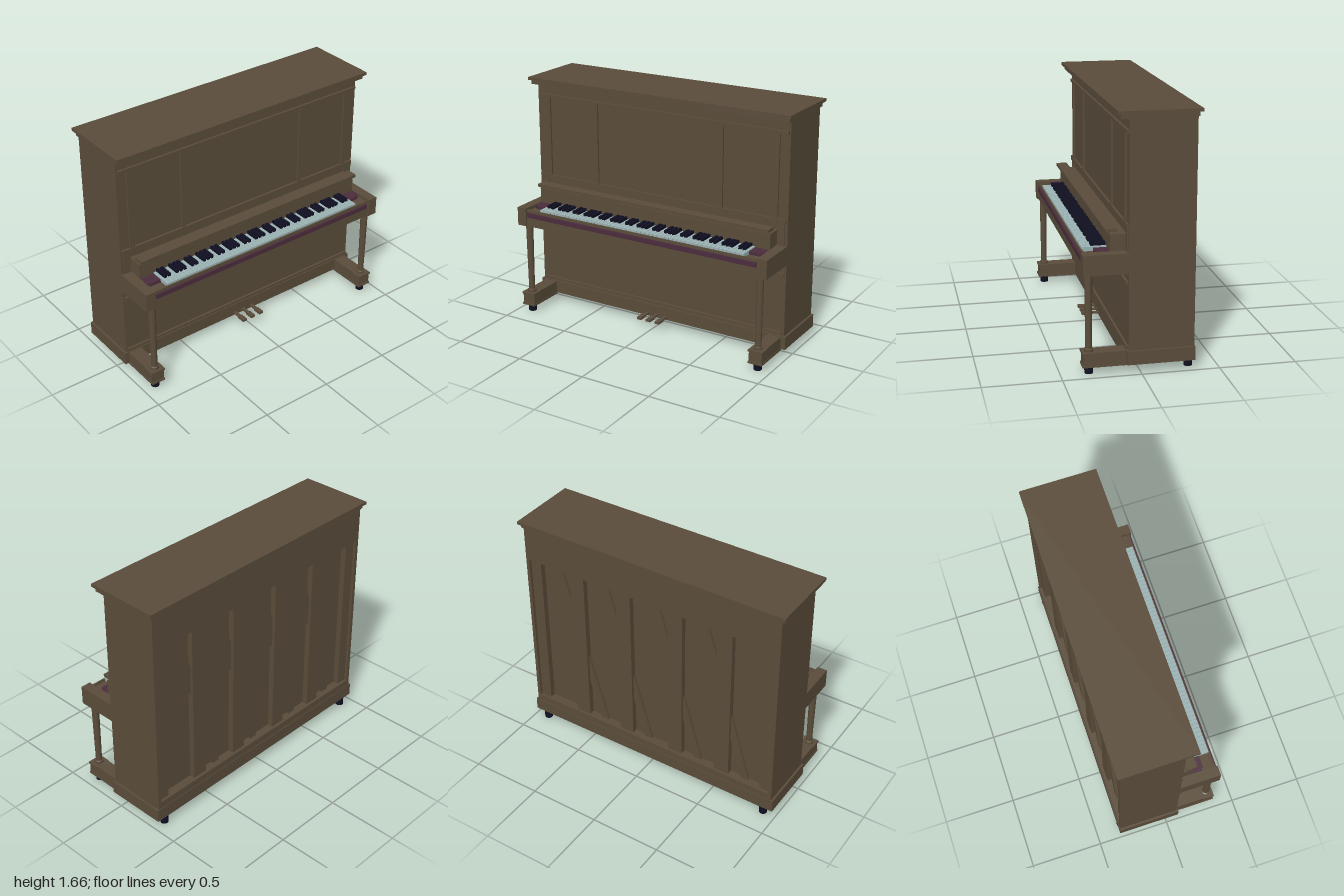
import * as THREE from 'three';

export function createModel() {
  const root = new THREE.Group();
  root.name = 'uprightPiano';
  const mat = (name, color) => {
    const m = new THREE.MeshStandardMaterial({ color });
    m.name = name;
    return m;
  };
  const wood = mat('brownWood', 0x5a4c3a);
  const ivory = mat('paleKeys', 0x9bb2b3);
  const black = mat('blackKeys', 0x0f0f22);
  const plum = mat('plumFelt', 0x4b2d3d);

  const add = (name, geo, material, parent = root) => {
    const m = new THREE.Mesh(geo, material);
    m.name = name;
    parent.add(m);
    return m;
  };
  // Box given by its extents along each axis
  const box = (name, x0, x1, y0, y1, z0, z1, material = wood, parent = root) => {
    const m = add(name, new THREE.BoxGeometry(x1 - x0, y1 - y0, z1 - z0), material, parent);
    m.position.set((x0 + x1) / 2, (y0 + y1) / 2, (z0 + z1) / 2);
    return m;
  };
  // The same box on both sides
  const pair = (name, x0, x1, y0, y1, z0, z1, material = wood) => {
    box(name + 'Left', x0, x1, y0, y1, z0, z1, material);
    box(name + 'Right', -x1, -x0, y0, y1, z0, z1, material);
  };

  // Case and lid
  box('caseBody', -0.97, 0.97, 0.06, 1.61, -0.28, 0.08);
  box('lidMoulding', -0.985, 0.985, 1.61, 1.64, -0.345, 0.135);
  box('lid', -1, 1, 1.64, 1.66, -0.365, 0.155);
  box('plinth', -0.985, 0.985, 0.06, 0.15, -0.345, 0.09);

  // Back frame with posts over slanted braces
  pair('backSideBoard', 0.945, 0.97, 0.15, 1.61, -0.34, -0.28);
  box('backTopRail', -0.945, 0.945, 1.37, 1.61, -0.34, -0.28);
  box('backBottomRail', -0.945, 0.945, 0.15, 0.2, -0.34, -0.28);
  pair('backEdgePost', 0.865, 0.945, 0.2, 1.37, -0.32, -0.28);
  for (const x of [-0.57, -0.2, 0.2, 0.57]) {
    box('backPost', x - 0.055, x + 0.055, 0.2, 1.37, -0.32, -0.28);
    const brace = new THREE.Shape([
      new THREE.Vector2(x + 0.14, 1.37), new THREE.Vector2(x - 0.2, 0.2),
      new THREE.Vector2(x - 0.14, 0.2), new THREE.Vector2(x + 0.2, 1.37),
    ]);
    add('backBrace', new THREE.ExtrudeGeometry(brace, { depth: 0.02, bevelEnabled: false }), wood)
      .position.z = -0.3;
  }

  // Upper front panel mouldings
  box('upperTopRail', -0.96, 0.96, 1.52, 1.54, 0.08, 0.095);
  box('upperBottomRail', -0.96, 0.96, 0.93, 0.96, 0.08, 0.095);
  pair('outerStile', 0.865, 0.9, 0.96, 1.52, 0.08, 0.093);
  pair('innerStile', 0.47, 0.5, 0.96, 1.52, 0.08, 0.093);
  pair('cheekStrip', 0.9, 0.95, 0.78, 0.93, 0.08, 0.088);

  // Lower front panel mouldings
  box('lowerTopRail', -0.96, 0.96, 0.575, 0.595, 0.08, 0.095);
  box('lowerBottomRail', -0.96, 0.96, 0.16, 0.18, 0.08, 0.095);

  // Keyboard shelf
  box('fallboard', -0.9, 0.9, 0.715, 0.885, 0.08, 0.185);
  box('musicShelf', -0.9, 0.9, 0.9, 0.92, 0.14, 0.215);
  box('keybed', -0.9, 0.9, 0.65, 0.715, 0.08, 0.355);
  box('keyFrame', -0.9, 0.9, 0.715, 0.755, 0.185, 0.335);
  pair('arm', 0.9, 0.97, 0.65, 0.78, 0.08, 0.365);
  box('frontFelt', -0.89, 0.89, 0.715, 0.748, 0.335, 0.36, plum);
  box('keySlip', -0.9, 0.9, 0.748, 0.768, 0.335, 0.348);

  // Plum end blocks with a clipped outer corner
  for (const s of [-1, 1]) {
    const pts = [[0.797, 0.185], [0.897, 0.185], [0.897, 0.25], [0.875, 0.27], [0.797, 0.27]]
      .map(([x, z]) => new THREE.Vector2(s * x, -z));
    const block = add('keyEndBlock', new THREE.ExtrudeGeometry(new THREE.Shape(pts),
      { depth: 0.022, bevelEnabled: false }), plum);
    block.rotation.x = -Math.PI / 2;
    block.position.y = 0.755;
  }

  // Keys
  const keys = new THREE.Group();
  keys.name = 'keys';
  root.add(keys);
  const count = 52, step = 1.59 / count;
  for (let i = 0; i < count; i++) {
    const x = -0.795 + i * step;
    box('whiteKey', x + 0.0012, x + step - 0.0012, 0.755, 0.782, 0.185, 0.34, ivory, keys);
    if ([0, 1, 3, 4, 5].includes(i % 7) && i < count - 1) {
      const c = x + step;
      box('blackKey', c - 0.01, c + 0.01, 0.775, 0.802, 0.185, 0.28, black, keys);
    }
  }

  // Legs, feet and casters
  const leg = [[0, 0.145], [0.029, 0.145], [0.029, 0.162], [0.021, 0.166], [0.021, 0.18],
    [0.025, 0.6], [0.025, 0.65], [0, 0.65]].map(([r, y]) => new THREE.Vector2(r, y));
  for (const s of [-1, 1]) {
    const x = s * 0.905;
    const m = add('frontLeg', new THREE.LatheGeometry(leg, 20).toNonIndexed(), wood);
    m.geometry.computeVertexNormals();
    m.position.set(x, 0, 0.32);
    box('foot', x - 0.047, x + 0.047, 0.05, 0.145, 0.085, 0.36);
    box('footTopTrim', x - 0.052, x + 0.052, 0.132, 0.145, 0.285, 0.367);
    box('footBottomTrim', x - 0.05, x + 0.05, 0.05, 0.064, 0.085, 0.366);
    for (const [z, h] of [[0.32, 0.05], [-0.317, 0.06]]) {
      add('caster', new THREE.CylinderGeometry(0.028, 0.028, h, 12), black)
        .position.set(x, h / 2, z);
    }
  }

  // Pedals
  for (const x of [-0.072, 0, 0.072]) {
    box('pedalStem', x - 0.011, x + 0.011, 0.076, 0.088, 0.09, 0.16);
    box('pedalPad', x - 0.017, x + 0.017, 0.074, 0.09, 0.15, 0.21);
  }
  return root;
}
